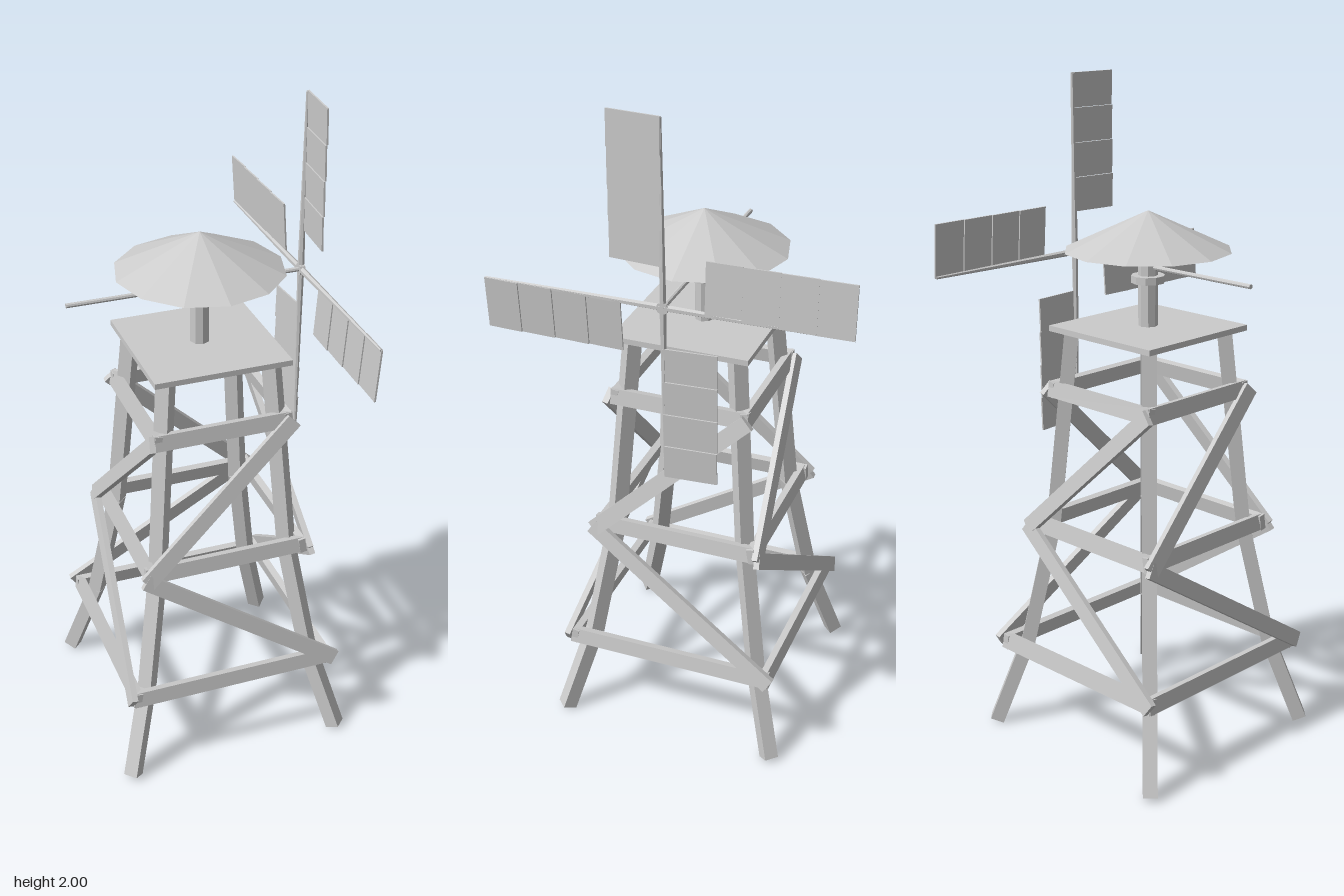
import * as THREE from 'three';

const mat = new THREE.MeshStandardMaterial({ color: 0xcccccc, flatShading: true });
const openMat = new THREE.MeshStandardMaterial({ color: 0xcccccc, flatShading: true, side: THREE.DoubleSide });

function add(parent, name, geometry, x = 0, y = 0, z = 0, material = mat) {
  const m = new THREE.Mesh(geometry, material);
  m.name = name;
  m.position.set(x, y, z);
  parent.add(m);
  return m;
}

// Straight timber from a to b: thickness along the face normal, height within the face
function beam(parent, name, a, b, thickness, height, up = [0, 1, 0], extra = 0) {
  const p = new THREE.Vector3(...a), q = new THREE.Vector3(...b);
  const m = add(parent, name, new THREE.BoxGeometry(thickness, height, p.distanceTo(q) + extra));
  m.position.copy(p).add(q).multiplyScalar(0.5);
  m.quaternion.setFromRotationMatrix(new THREE.Matrix4().lookAt(q, p, new THREE.Vector3(...up)));
}

export function createModel() {
  const model = new THREE.Group();
  model.name = 'windmill';

  // Tower: four identical sides, each with a bent leg, three rails and two diagonals
  const tower = new THREE.Group();
  tower.name = 'tower';
  tower.position.x = 0.008;
  model.add(tower);

  const legKnots = [[0.339, 0.007], [0.265, 0.28], [0.205, 0.66], [0.158, 1.28]]; // offset, height
  const rails = [[0.31, 0.277, 0.322], [0.24, 0.673, 0.255], [0.2, 1.097, 0.21]]; // offset, height, half length
  const lean = [0, 1, -0.17];

  for (let i = 0; i < 4; i++) {
    const side = new THREE.Group();
    side.name = 'towerSide';
    side.rotation.y = i * Math.PI / 2;
    tower.add(side);

    for (let k = 0; k < 3; k++) {
      const [r0, y0] = legKnots[k], [r1, y1] = legKnots[k + 1];
      beam(side, 'leg', [r0, y0, r0], [r1, y1, r1], 0.043, 0.043);
    }
    for (const [z, y, half] of rails)
      beam(side, 'rail', [-half, y, z], [half, y, z], 0.022, 0.048, lean);

    beam(side, 'lowerBrace', [0.315, 0.285, 0.328], [-0.248, 0.66, 0.262], 0.018, 0.048, lean, 0.03);
    beam(side, 'upperBrace', [-0.245, 0.67, 0.26], [0.2, 1.09, 0.218], 0.018, 0.048, lean, 0.03);
  }

  // Deck, post and roof
  add(tower, 'deck', new THREE.BoxGeometry(0.412, 0.017, 0.412), 0, 1.283, 0);
  add(tower, 'post', new THREE.CylinderGeometry(0.029, 0.029, 0.31, 8), 0, 1.445, 0);
  add(tower, 'collar', new THREE.CylinderGeometry(0.05, 0.05, 0.022, 10), 0, 1.431, 0);
  add(tower, 'roof', new THREE.ConeGeometry(0.247, 0.115, 12, 1, true), 0, 1.573, 0, openMat);

  // Horizontal shaft
  const hubY = 1.467;
  const shaft = add(model, 'shaft', new THREE.CylinderGeometry(0.007, 0.007, 0.713, 8), -0.0285, hubY, 0);
  shaft.rotation.z = Math.PI / 2;

  // Sail wheel: four arms, each with a slightly pitched row of boards along one edge
  const wheel = new THREE.Group();
  wheel.name = 'sailWheel';
  wheel.position.set(0.319, hubY, 0);
  model.add(wheel);
  add(wheel, 'hub', new THREE.CylinderGeometry(0.018, 0.018, 0.016, 8)).rotation.z = Math.PI / 2;

  for (let i = 0; i < 4; i++) {
    const sail = new THREE.Group();
    sail.name = 'sail';
    sail.rotation.x = i * Math.PI / 2;
    wheel.add(sail);
    add(sail, 'arm', new THREE.CylinderGeometry(0.004, 0.01, 0.53, 6), 0, 0.265, 0);

    const blade = new THREE.Group();
    blade.name = 'blade';
    blade.position.x = 0.004;
    blade.rotation.y = -0.07;
    sail.add(blade);
    for (let k = 0; k < 4; k++) {
      const board = add(blade, 'board', new THREE.BoxGeometry(0.005, 0.102, 0.155), 0, 0.1725 + k * 0.103, 0.076);
      board.rotation.z = 0.03;
    }
  }
  return model;
}
